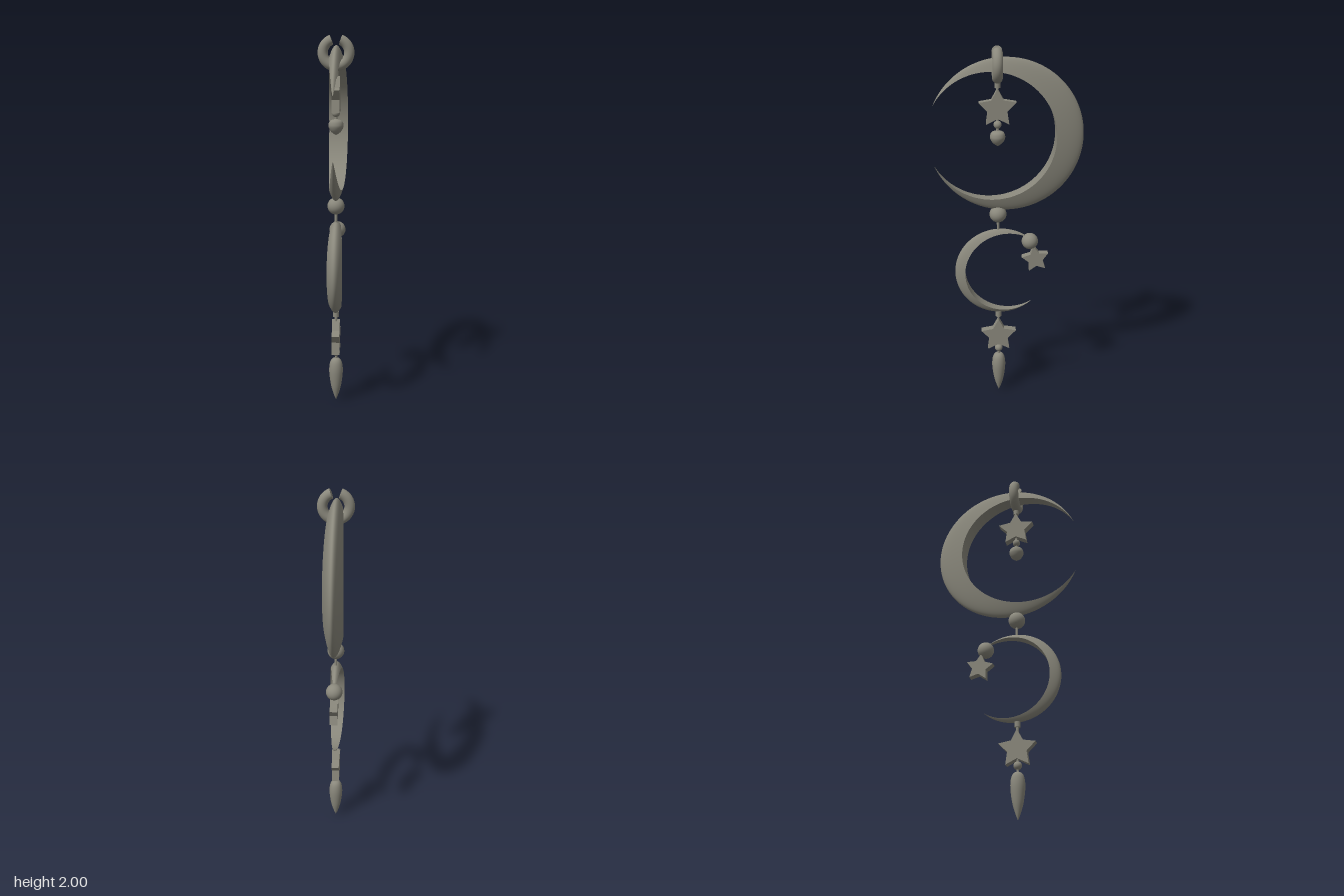
import * as THREE from 'three';
import { ParametricGeometry } from 'three/addons/geometries/ParametricGeometry.js';

const material = new THREE.MeshStandardMaterial({ color: 0x8a887c });
const AXIS_Z = 0.058; // z of the hanging chain

export function createModel() {
  const model = new THREE.Group();

  const add = (name, geometry, y, z = AXIS_Z) => {
    const mesh = new THREE.Mesh(geometry, material);
    mesh.name = name;
    mesh.position.set(0, y, z);
    model.add(mesh);
    return mesh;
  };
  const bead = (name, r, y, z) => add(name, new THREE.SphereGeometry(r, 32, 20), y, z);
  const rod = (name, top, bottom, r = 0.007) =>
    add(name, new THREE.CylinderGeometry(r, r, top - bottom, 20), (top + bottom) / 2);

  // Five-pointed flat star lying in the yz plane
  const star = (name, r, y, z, tilt = 0) => {
    const points = [];
    for (let i = 0; i < 10; i++) {
      const a = Math.PI / 2 + tilt + (i * Math.PI) / 5;
      const d = i % 2 ? r * 0.52 : r;
      points.push(new THREE.Vector2(d * Math.cos(a), d * Math.sin(a)));
    }
    const geometry = new THREE.ExtrudeGeometry(new THREE.Shape(points), { depth: 0.042, bevelEnabled: false });
    geometry.translate(0, 0, -0.021).rotateY(Math.PI / 2);
    return add(name, geometry, y, z);
  };

  // Lathed drop from a few [radius, y] points, bottom tip to top
  const drop = (name, profile, y) => {
    const curve = new THREE.SplineCurve(profile.map(([r, h]) => new THREE.Vector2(r, h)));
    const points = curve.getPoints(28).map((p) => p.setX(Math.max(p.x, 0)));
    return add(name, new THREE.LatheGeometry(points, 32), y);
  };

  // Crescent, thick towards -z: rounded outside, flat inside, pointed tips
  const crescent = (name, y, outer, inner, tip, h, halfWidth) => {
    const arc = (back) => { // circle through both tips and the back point
      const chord = tip + back;
      const r = (chord * chord + h * h) / (2 * chord);
      const c = r - back;
      return { r, c, span: Math.acos((c - tip) / r) };
    };
    const o = arc(outer), n = arc(inner);
    const at = ({ r, c, span }, t) => {
      const a = (2 * t - 1) * span;
      return [r * Math.sin(a), c - r * Math.cos(a)];
    };
    const surface = (section) => new ParametricGeometry((u, v, target) => {
      const t = 0.002 + 0.996 * v;
      const [x, k] = section(u);
      const [y0, z0] = at(n, t), [y1, z1] = at(o, t);
      const w = halfWidth * Math.sin(Math.PI * t) ** 0.75;
      target.set(x * w, y0 + (y1 - y0) * k, z0 + (z1 - z0) * k);
    }, 24, 120);
    const group = new THREE.Group();
    group.name = name;
    group.position.y = y;
    const back = new THREE.Mesh(surface((u) => [1 - 2 * u, 1 - (1 - 2 * u) ** 2]), material);
    back.name = name + 'Outside';
    const face = new THREE.Mesh(surface((u) => [2 * u - 1, 0]), material);
    face.name = name + 'Inside';
    group.add(back, face);
    model.add(group);
    return group;
  };

  // Open hanging ring, gap at the top
  const gap = THREE.MathUtils.degToRad(20);
  const ringGeometry = new THREE.TorusGeometry(0.069, 0.027, 24, 64, 2 * (Math.PI - gap));
  ringGeometry.rotateZ(Math.PI / 2 + gap);
  add('hangingRing', ringGeometry, 1.909);
  for (const side of [-1, 1]) {
    const cap = add('ringEnd', new THREE.CircleGeometry(0.027, 24), 1.909 + 0.069 * Math.cos(gap));
    cap.position.x = side * 0.069 * Math.sin(gap);
    cap.rotation.set(0, -side * Math.PI / 2, -side * gap, 'ZYX');
  }

  // Large crescent and the charm hanging within it
  crescent('largeCrescent', 1.5375, 0.394, 0.249, 0.394, 0.158, 0.053);
  rod('upperRod', 1.83, 1.55);
  rod('upperCollar', 1.82, 1.79, 0.015);
  star('upperStar', 0.103, 1.685);
  bead('upperSmallBead', 0.021, 1.597);
  drop('upperDrop', [[0, 0], [0.024, 0.017], [0.037, 0.037], [0.04, 0.055], [0.031, 0.076], [0, 0.087]], 1.481);

  // Joint between the crescents
  bead('middleBead', 0.046, 1.102);
  rod('middleRod', 1.08, 1.0);

  // Small crescent, opening the other way, with a charm at its tip
  crescent('smallCrescent', 0.764, 0.296, 0.241, 0.127, 0.184, 0.041).rotation.y = Math.PI;
  bead('tipBead', 0.045, 0.94, -0.116);
  star('tipStar', 0.077, 0.838, -0.147, 0.15);

  // Lower charm
  rod('lowerRod', 0.53, 0.22);
  rod('lowerCollar', 0.515, 0.485, 0.016);
  star('lowerStar', 0.103, 0.368);
  bead('lowerSmallBead', 0.022, 0.281);
  drop('lowerDrop', [[0, 0], [0.014, 0.035], [0.029, 0.09], [0.038, 0.165], [0.034, 0.215], [0.021, 0.24], [0, 0.247]], 0.002);

  return model;
}
